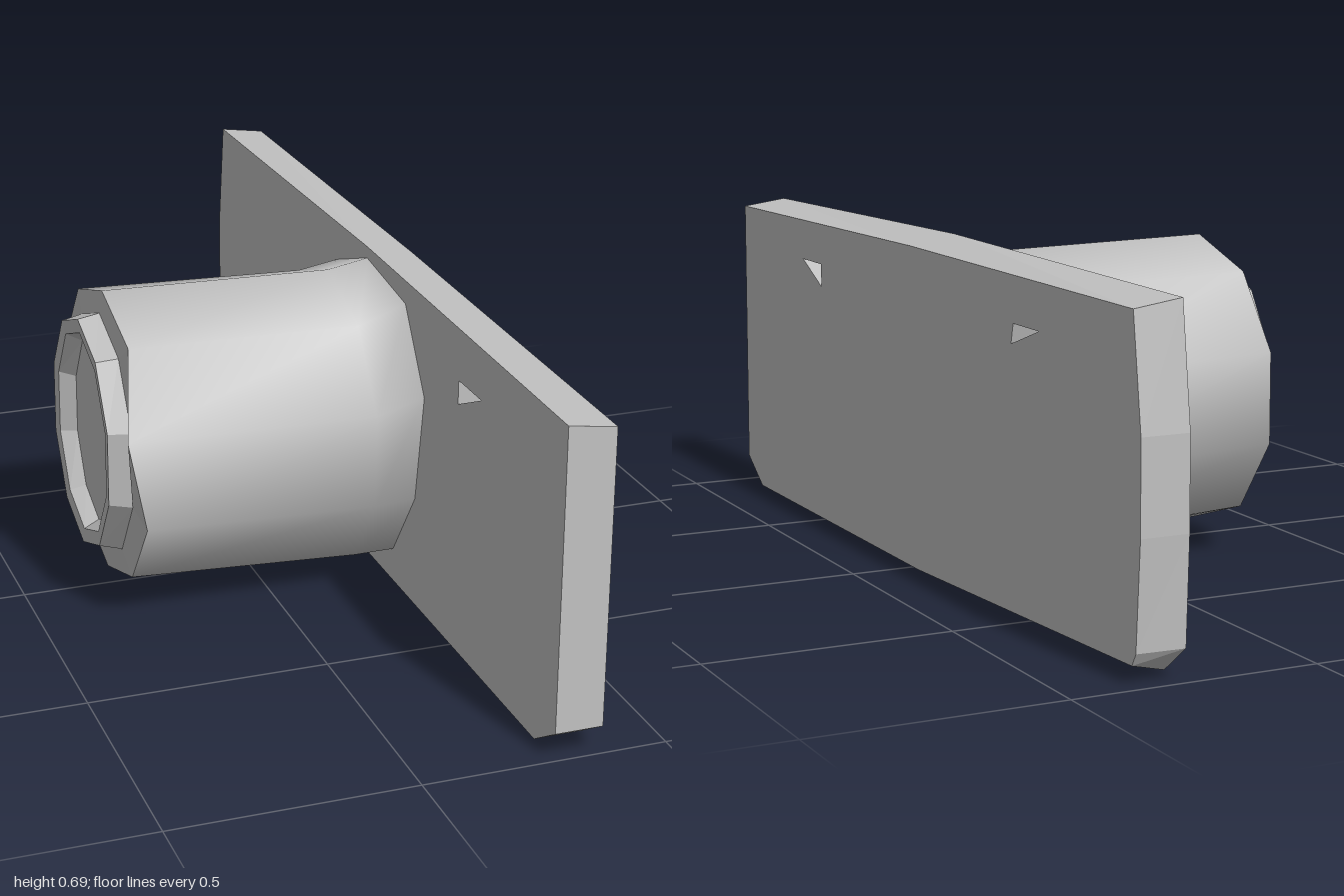
import * as THREE from 'three';

const grey = new THREE.MeshStandardMaterial({ color: 0xc0c0c0, side: THREE.DoubleSide });
grey.name = 'grey';
const facetedGrey = grey.clone();
facetedGrey.name = 'faceted grey';
facetedGrey.flatShading = true;

const SIDES = 10;
const BACK = 0.267, THICK = 0.098;

// Ten-sided cross-section around the x axis; bend(p) shifts single points
function ring(x, cy, ry, rz, cz = 0, bend = () => {}) {
  return Array.from({ length: SIDES }, (_, i) => {
    const a = Math.PI / 2 + (i / SIDES) * Math.PI * 2;
    const p = new THREE.Vector3(x, cy + ry * Math.sin(a), cz + rz * Math.cos(a));
    bend(p);
    return p;
  });
}

// Skin a list of rings, ordered from +x towards -x
function loft(rings, closeEnd = false) {
  const points = rings.flat(), index = [];
  for (let r = 0; r < rings.length - 1; r++) {
    for (let i = 0; i < SIDES; i++) {
      const a = r * SIDES + i, b = r * SIDES + (i + 1) % SIDES;
      index.push(a, b, a + SIDES, b, b + SIDES, a + SIDES);
    }
  }
  if (closeEnd) {
    const s = (rings.length - 1) * SIDES;
    for (let i = 1; i < SIDES - 1; i++) index.push(s, s + i, s + i + 1);
  }
  const geo = new THREE.BufferGeometry().setFromPoints(points);
  geo.setIndex(index);
  geo.computeVertexNormals();
  return geo;
}

function add(group, name, geo, material) {
  const mesh = new THREE.Mesh(geo, material);
  mesh.name = name;
  group.add(mesh);
}

export function createModel() {
  const model = new THREE.Group();
  model.name = 'mountingPlateWithStub';

  // Plate outline as (z, y), drawn with z mirrored for the extrusion
  const flip = (pts) => pts.map(([z, y]) => new THREE.Vector2(-z, y));
  const outline = new THREE.Shape(flip([
    [0.91, 0], [1, 0.058], [0.99, 0.678], [0, 0.695], [-0.97, 0.684],
    [-1, 0.45], [-1, 0.27], [-0.99, 0.06], [-0.91, 0], [-0.03, 0],
  ]));
  const pocket = [[-0.49, 0.58], [-0.6, 0.58], [-0.48, 0.54]];
  outline.holes.push(new THREE.Path(flip([[0.61, 0.58], [0.5, 0.58], [0.5, 0.53]])));
  outline.holes.push(new THREE.Path(flip(pocket)));
  const plate = new THREE.ExtrudeGeometry(outline, { depth: THICK, bevelEnabled: false });
  plate.rotateY(Math.PI / 2).translate(BACK, 0, 0);
  // Outer face is slightly smaller along the top and the worn lower corner
  const pos = plate.attributes.position;
  for (let i = 0; i < pos.count; i++) {
    if (pos.getX(i) < BACK + 0.05) continue;
    const y = pos.getY(i), z = pos.getZ(i);
    if (y > 0.6) pos.setY(i, y - 0.014 - 0.006 * (z < 0.5 && z > -0.5));
    if (z < -0.9 && y < 0.02) pos.setXYZ(i, pos.getX(i), 0.035, -0.97);
    else if (z < -0.98 && y < 0.1) pos.setZ(i, -0.985);
  }
  plate.computeVertexNormals();
  add(model, 'plate', plate, facetedGrey);

  // Blind pocket: a floor flush with the inner face and a sloping side
  const floor = pocket.map(([z, y]) => new THREE.Vector3(BACK, y, z));
  const slope = floor.map((p, i) => p.clone().setX(i === 1 ? BACK + THICK - 0.003 : BACK + 0.005));
  const pocketGeo = new THREE.BufferGeometry().setFromPoints([...floor, ...slope]);
  pocketGeo.computeVertexNormals();
  add(model, 'pocketFloor', pocketGeo, facetedGrey);

  // Stub wall, flaring a little where it meets the plate
  const flare = (p) => {
    if (p.z > 0.05 && p.y > 0.4) { p.z += 0.035; p.y += 0.035; }
  };
  const skew = (p) => {
    if (p.z > 0.2 && p.y > 0.4) p.x = -0.352;
  };
  const rim = ring(-0.315, 0.352, 0.312, 0.32, 0, skew);
  add(model, 'stubWall', loft([
    ring(BACK, 0.34, 0.33, 0.31, 0, flare),
    ring(0.18, 0.332, 0.322, 0.308),
    rim,
  ]), grey);

  // Stub end: flat rim, raised collar and shallow recess
  const collar = ring(-0.365, 0.352, 0.252, 0.22, -0.01);
  add(model, 'stubEnd', loft([
    rim,
    ring(-0.32, 0.352, 0.262, 0.235, -0.005),
    collar,
    ring(-0.362, 0.352, 0.222, 0.19, -0.01),
    ring(-0.33, 0.352, 0.205, 0.165, -0.01),
  ], true), facetedGrey);

  return model;
}
